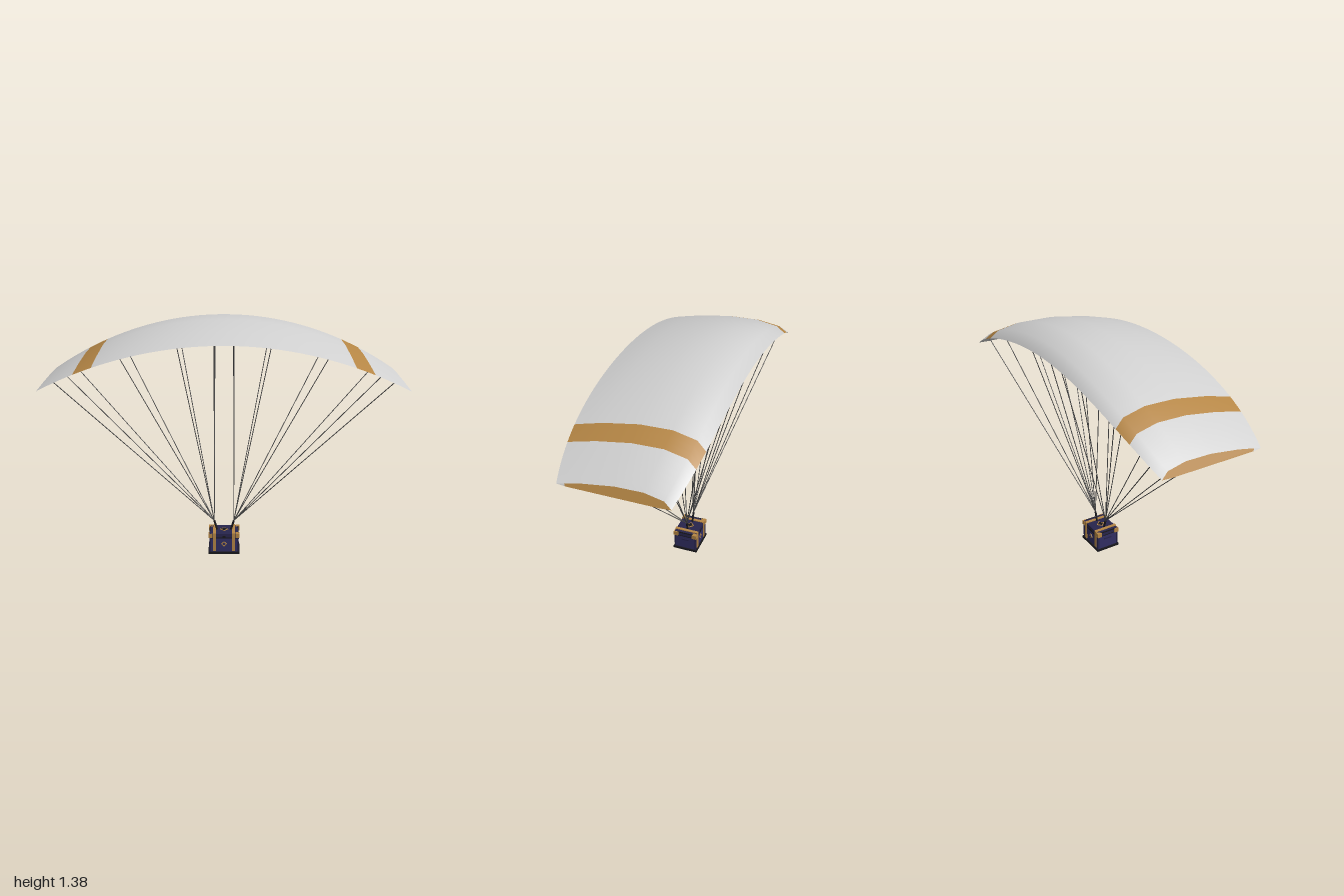
import * as THREE from 'three';

const mat = (name, color) => {
  const m = new THREE.MeshStandardMaterial({ color });
  m.name = name;
  return m;
};

export function createModel() {
  const white = mat('canopyWhite', 0xd0d0d0);
  const gold = mat('gold', 0xb58645);
  const navy = mat('navy', 0x312e62);
  const darkNavy = mat('darkNavy', 0x27244c);
  const black = mat('black', 0x18171c);
  const cord = mat('cordGrey', 0x4a4a4a);

  const model = new THREE.Group();
  model.name = 'paragliderCrate';
  const add = (name, geo, material, parent = model) => {
    const mesh = new THREE.Mesh(geo, material);
    mesh.name = name;
    parent.add(mesh);
    return mesh;
  };

  // Canopy: wing section swept along a circular arc, its upper skin leaning inward
  const R = 2.11, BASE = 1.283;
  const halfChord = x => 0.358 - 0.068 * x ** 4;
  const thickness = x => 0.1 - 0.053 * x * x;
  const upper = [[1, 0.08], [0.86, 0.24], [0.55, 0.57], [0, 0.95], [-0.5, 1], [-0.86, 0.66], [-1, 0.08]];
  const lower = [[-1, 0.08], [-0.8, 0.01], [0, 0], [0.84, 0], [1, 0.08]];
  const wingPoint = (x, [u, v]) => [
    x * (1 - 0.026 * v),
    BASE - R + Math.sqrt(R * R - x * x) + v * thickness(x),
    u * halfChord(x),
  ];

  // Span stations, with exact stops at the stripe borders
  const stops = [-1, -0.795, -0.693, 0.693, 0.795, 1];
  const steps = [6, 3, 28, 3, 6];
  const stations = [stops[0]];
  steps.forEach((n, k) => {
    for (let i = 1; i <= n; i++) stations.push(stops[k] + (stops[k + 1] - stops[k]) * i / n);
  });

  const surface = (pos, index) => {
    const geo = new THREE.BufferGeometry();
    geo.setAttribute('position', new THREE.Float32BufferAttribute(pos, 3));
    geo.setIndex(index);
    geo.computeVertexNormals();
    return geo;
  };
  const skin = profile => {
    const pos = [], index = [], n = profile.length;
    stations.forEach(x => profile.forEach(p => pos.push(...wingPoint(x, p))));
    for (let i = 0; i < stations.length - 1; i++) {
      for (let j = 0; j < n - 1; j++) {
        const a = i * n + j, b = a + n;
        index.push(a, b, b + 1, a, b + 1, a + 1);
      }
    }
    const geo = surface(pos, index);
    let start = 0;
    steps.forEach((count, k) => {
      const size = count * (n - 1) * 6;
      geo.addGroup(start, size, k % 2);
      start += size;
    });
    return geo;
  };
  const canopy = new THREE.Group();
  canopy.name = 'canopy';
  model.add(canopy);
  add('canopyTop', skin(upper), [white, gold], canopy);
  add('canopyUnderside', skin(lower), [white, gold], canopy);

  // Wing tips: gold, with a small white corner at the trailing edge
  const tip = (side, outline) => {
    const pos = [], index = [];
    outline.forEach(p => pos.push(...wingPoint(side, p)));
    for (let i = 1; i < outline.length - 1; i++) index.push(0, ...(side > 0 ? [i + 1, i] : [i, i + 1]));
    return surface(pos, index);
  };
  for (const s of [-1, 1]) {
    add('canopyTip', tip(s, [...upper.slice(1), ...lower.slice(1, -1)]), gold, canopy);
    add('canopyTipCorner', tip(s, [upper[0], upper[1], lower[3]]), white, canopy);
  }

  // Round bar between two points
  const bar = (name, from, to, radius, material, parent) => {
    const a = new THREE.Vector3(...from), b = new THREE.Vector3(...to);
    const mesh = add(name, new THREE.CylinderGeometry(radius, radius, a.distanceTo(b), 16), material, parent);
    mesh.position.copy(a).add(b).multiplyScalar(0.5);
    mesh.quaternion.setFromUnitVectors(new THREE.Vector3(0, 1, 0), b.sub(a).normalize());
  };

  // Suspension lines gathered at two risers; only the outermost reach the trailing edge
  const lines = new THREE.Group();
  lines.name = 'suspensionLines';
  model.add(lines);
  for (const s of [-1, 1]) {
    const knot = [s * 0.058, 0.183, 0];
    for (const x of [0.055, 0.27, 0.6, 0.9])
      for (const p of [[0.1, 0.01], [-0.82, 0.03]])
        bar('line', knot, wingPoint(s * x, p), 0.0024, cord, lines);
    bar('line', knot, wingPoint(s * 0.9, [0.955, 0.06]), 0.0024, cord, lines);
    bar('riser', [s * 0.04, 0.122, 0], knot, 0.006, black, lines);
  }

  // Crate
  const crate = new THREE.Group();
  crate.name = 'crate';
  model.add(crate);
  const box = (name, w, h, d, x, y, z, material) => {
    const mesh = add(name, new THREE.BoxGeometry(w, h, d), material, crate);
    mesh.position.set(x, y, z);
    return mesh;
  };
  box('base', 0.184, 0.012, 0.15, 0, 0.0068, 0, black);
  box('body', 0.168, 0.088, 0.134, 0, 0.055, 0, navy);
  box('lidSeam', 0.171, 0.005, 0.137, 0, 0.1, 0, black);
  box('lid', 0.17, 0.024, 0.136, 0, 0.114, 0, darkNavy);
  for (const s of [-1, 1]) {
    // Straps around the crate
    box('strapTop', 0.018, 0.006, 0.144, s * 0.056, 0.1275, 0, gold);
    box('strapUnder', 0.01, 0.002, 0.11, s * 0.056, 0.001, 0, gold);
    box('lidRim', 0.004, 0.006, 0.1, s * 0.084, 0.124, 0, black);
    box('sideHandle', 0.006, 0.008, 0.046, s * 0.085, 0.076, 0, darkNavy);
    for (const t of [-1, 1]) {
      box('strapFace', 0.019, 0.108, 0.005, s * 0.056, 0.071, t * 0.069, gold);
      box('cornerBracket', 0.024, 0.026, 0.028, s * 0.08, 0.113, t * 0.0585, gold);
      box('cornerPost', 0.008, 0.088, 0.008, s * 0.082, 0.055, t * 0.065, darkNavy);
    }
    // Diamond badge and latch on front and back
    const rim = box('badgeRim', 0.024, 0.024, 0.004, 0, 0.062, s * 0.068, gold);
    const core = box('badgeCore', 0.013, 0.013, 0.004, 0, 0.062, s * 0.069, navy);
    rim.rotation.z = core.rotation.z = Math.PI / 4;
    box('latch', 0.02, 0.012, 0.005, 0, 0.106, s * 0.069, black);
  }
  // Diamond badges on the lid and the bottom
  for (const [y, dir] of [[0.127, 1], [0.0022, -1]]) {
    const rim = box('plateRim', 0.036, 0.003, 0.036, 0, y, 0, gold);
    const core = box('plateCore', 0.026, 0.003, 0.026, 0, y + dir * 0.0007, 0, black);
    rim.rotation.y = core.rotation.y = Math.PI / 4;
  }

  return model;
}
